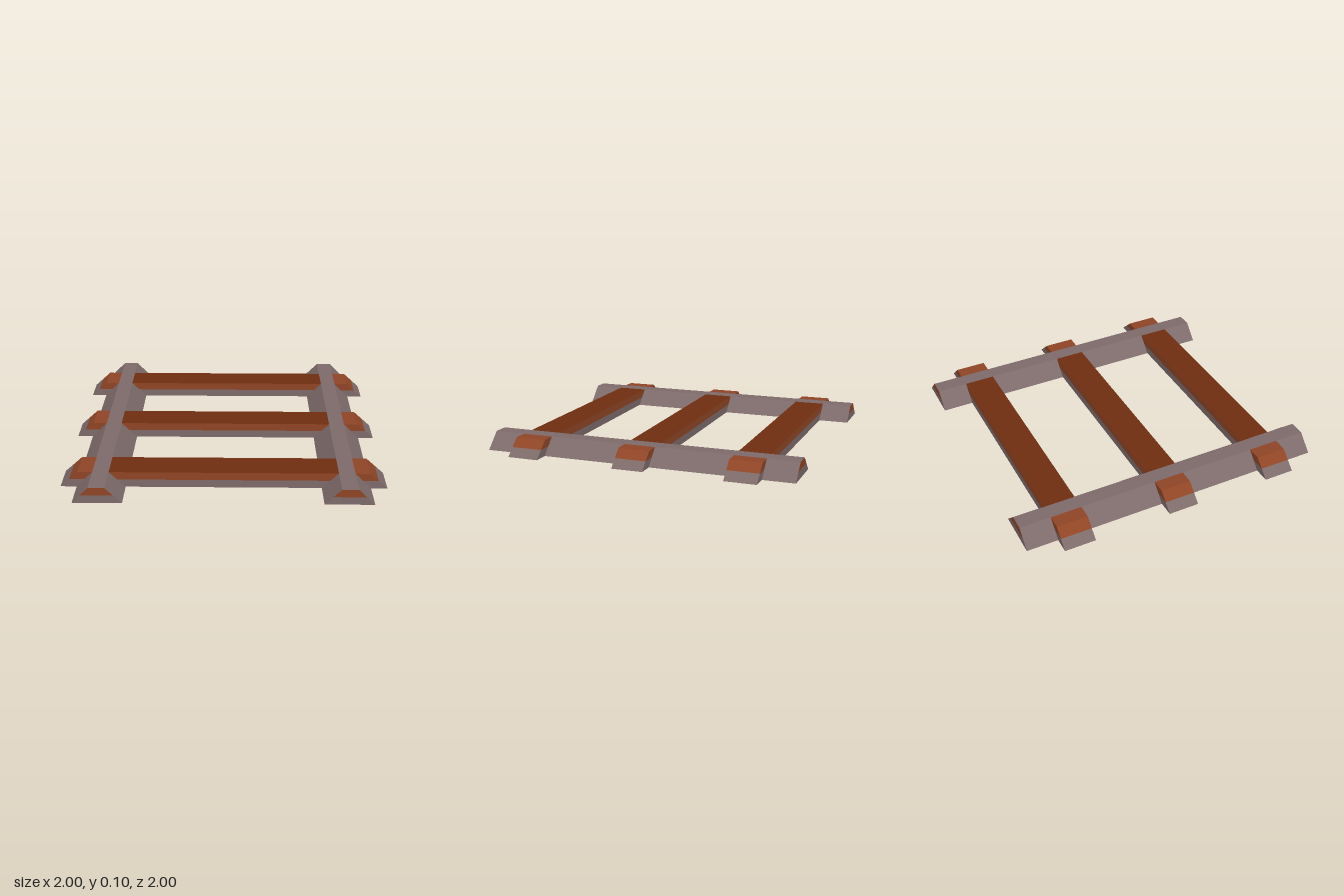
import * as THREE from 'three';

const flat = (name, color) =>
  new THREE.MeshStandardMaterial({ name, color, flatShading: true, side: THREE.DoubleSide });

// Mesh made from a list of four-cornered faces, counter-clockwise from outside
function faces(name, material, quads) {
  const points = quads.flatMap(([a, b, c, d]) => [a, b, c, a, c, d]);
  const geometry = new THREE.BufferGeometry();
  geometry.setAttribute('position', new THREE.Float32BufferAttribute(points.flat(), 3));
  geometry.computeVertexNormals();
  const mesh = new THREE.Mesh(geometry, material);
  mesh.name = name;
  return mesh;
}

// Mirror faces to the other side, keeping them facing outwards
const mirrorX = (quads) => quads.map((q) => q.map(([x, y, z]) => [-x, y, z]).reverse());
const bothX = (quads) => [...quads, ...mirrorX(quads)];

// Level face at height y, facing up or down
function level(x0, x1, z0, z1, y, up = true) {
  const q = [[x0, y, z1], [x1, y, z1], [x1, y, z0], [x0, y, z0]];
  return up ? q : q.reverse();
}

// Face rising from x = xa at ya to x = xb at yb, running from z0 to z1, facing +x
const slope = (xa, ya, xb, yb, z0, z1) =>
  [[xa, ya, z1], [xa, ya, z0], [xb, yb, z0], [xb, yb, z1]];

// Upright band at depth z, from x a0..a1 at y0 to b0..b1 at y1, facing dir along z
function upright(a0, a1, y0, b0, b1, y1, z, dir) {
  const q = [[a0, y0, z], [a1, y0, z], [b1, y1, z], [b0, y1, z]];
  return dir > 0 ? q : q.reverse();
}

const H = 0.1, M = 0.05;          // full height and colour split
const ties = [-0.7, 0, 0.7];      // tie centres
const gaps = [[-1, -0.8], [-0.6, -0.1], [0.1, 0.6], [0.8, 1]];

export function createModel() {
  const steel = flat('steel grey', 0x7d6b6a);
  const wood = flat('wood brown', 0x8f4526);
  const darkWood = flat('dark wood', 0x702e10);
  const base = flat('base black', 0x3a3a3a);
  const model = new THREE.Group();
  model.name = 'track';

  // Rails: hollow, tapered bars with two-tone ends and closed pads below the ends
  for (const side of [1, -1]) {
    const rail = new THREE.Group();
    rail.name = side > 0 ? 'leftRail' : 'rightRail';
    const body = [level(0.7, 0.8, -1, 1, H)];
    for (const [z0, z1] of gaps) {
      body.push(slope(0.9, 0, 0.8, H, z0, z1));
      body.push(slope(0.6, 0, 0.7, H, z0, z1).reverse());
    }
    const caps = [], pads = [];
    for (const e of [1, -1]) {
      body.push(upright(0.6, 0.9, 0, 0.65, 0.85, M, e, e));
      caps.push(upright(0.65, 0.85, M, 0.7, 0.8, H, e, e));
      pads.push(level(0.6, 0.9, Math.min(e, 0.6 * e), Math.max(e, 0.6 * e), 0, false));
    }
    const place = (quads) => (side > 0 ? quads : mirrorX(quads));
    rail.add(
      faces('railBody', steel, place(body)),
      faces('railEndCaps', wood, place(caps)),
      faces('railPads', base, place(pads)),
    );
    model.add(rail);
  }

  // Ties: dark top between the rails, short sloped stubs outside them
  for (const z of ties) {
    const z0 = z - 0.1, z1 = z + 0.1;
    const tie = new THREE.Group();
    tie.name = 'tie';
    const lower = bothX([slope(1, 0, 0.945, M, z0, z1)]);
    const upper = bothX([slope(0.945, M, 0.89, H, z0, z1), level(0.8, 0.89, z0, z1, H)]);
    for (const [zs, dir] of [[z0, -1], [z1, 1]]) {
      lower.push(
        upright(-0.6, 0.6, 0, -0.65, 0.65, M, zs, dir),
        ...bothX([upright(0.9, 1, 0, 0.85, 0.945, M, zs, dir)]),
      );
      upper.push(
        upright(-0.65, 0.65, M, -0.7, 0.7, H, zs, dir),
        ...bothX([upright(0.85, 0.945, M, 0.8, 0.89, H, zs, dir)]),
      );
    }
    tie.add(
      faces('tieLowerSides', steel, lower),
      faces('tieUpperSides', wood, upper),
      faces('tieTop', darkWood, [level(-0.7, 0.7, z0, z1, H)]),
      faces('tiePads', base, bothX([level(0.9, 1, z0, z1, 0, false)])),
    );
    model.add(tie);
  }
  return model;
}
